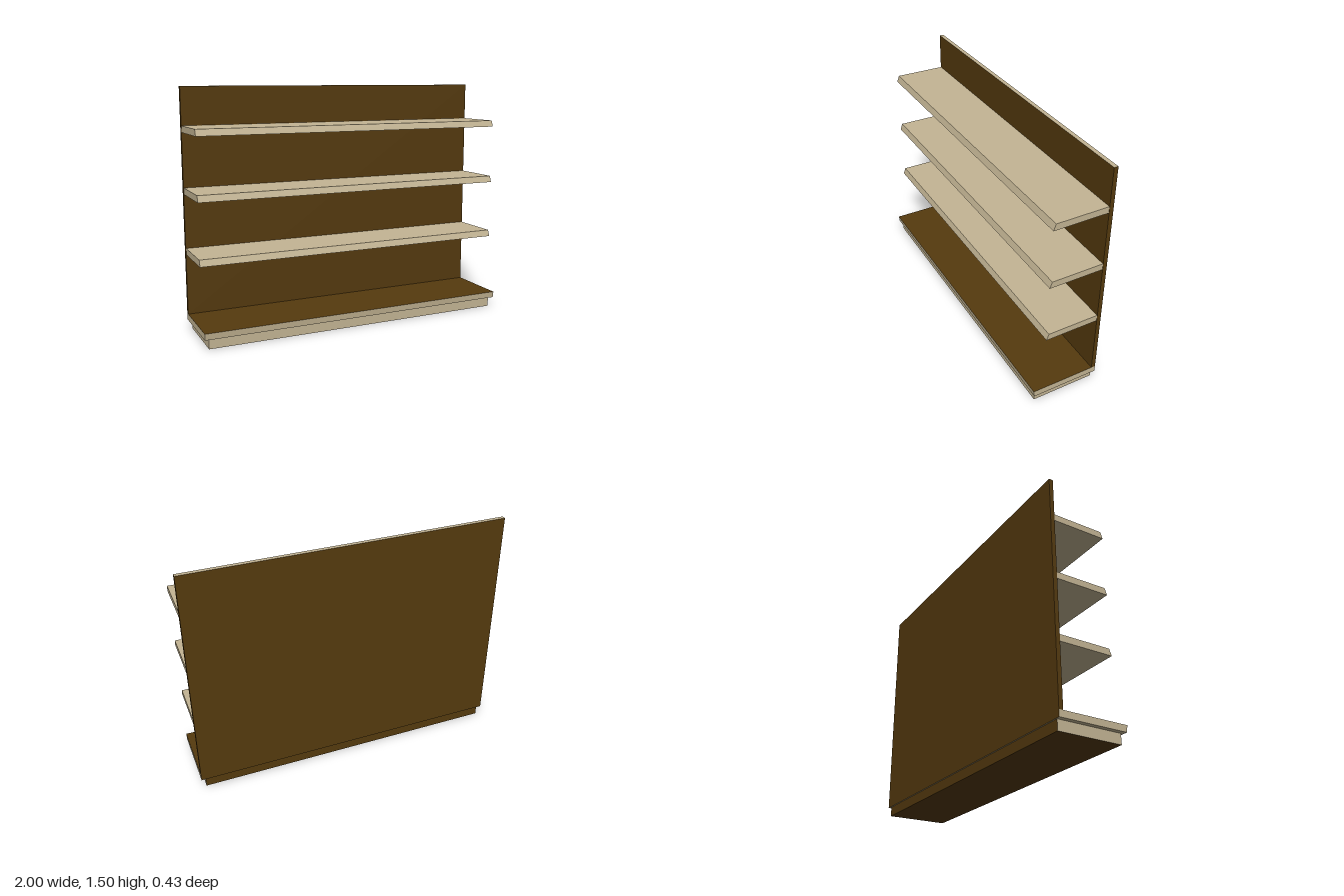
import * as THREE from 'three';

const beige = new THREE.MeshStandardMaterial({ color: 0xc4b594 });
const brown = new THREE.MeshStandardMaterial({ color: 0x553a0e });

// Box between limits; frontTop is the z of the upper front edge, for slanted fronts.
// Materials are ordered +x, -x, top, bottom, front, back.
function slab(name, halfWidth, [y0, y1], [z0, z1], materials, frontTop = z1) {
  const g = new THREE.BoxGeometry(halfWidth * 2, y1 - y0, z1 - z0);
  g.translate(0, (y0 + y1) / 2, (z0 + z1) / 2);
  const p = g.attributes.position;
  for (let i = 0; i < p.count; i++) {
    if (p.getZ(i) > z1 - 1e-4 && p.getY(i) > y1 - 1e-4) p.setZ(i, frontTop);
  }
  const flat = g.toNonIndexed();
  flat.clearGroups();
  g.groups.forEach((r) => flat.addGroup(r.start, r.count, r.materialIndex));
  flat.computeVertexNormals();
  const mesh = new THREE.Mesh(flat, materials);
  mesh.name = name;
  return mesh;
}

export function createModel() {
  const model = new THREE.Group();
  model.name = 'shelvingUnit';

  // Recessed plinth and the wider base deck resting on it
  model.add(slab('plinth', 0.972, [0, 0.062], [-0.205, 0.193],
    [beige, beige, brown, brown, beige, brown]));
  model.add(slab('baseDeck', 1, [0.062, 0.102], [-0.213, 0.21],
    [beige, beige, brown, beige, beige, brown], 0.215));

  // Back panel with a light top edge
  model.add(slab('backPanel', 1, [0.102, 1.495], [-0.213, -0.187],
    [brown, brown, beige, brown, brown, brown]));

  // Three shelves with fronts leaning back
  const shelves = new THREE.Group();
  shelves.name = 'shelves';
  for (let i = 0; i < 3; i++) {
    const y = 0.478 + i * 0.372;
    shelves.add(slab('shelf' + (i + 1), 0.998, [y, y + 0.04], [-0.187, 0.149],
      Array(6).fill(beige), 0.135));
  }
  model.add(shelves);
  return model;
}
